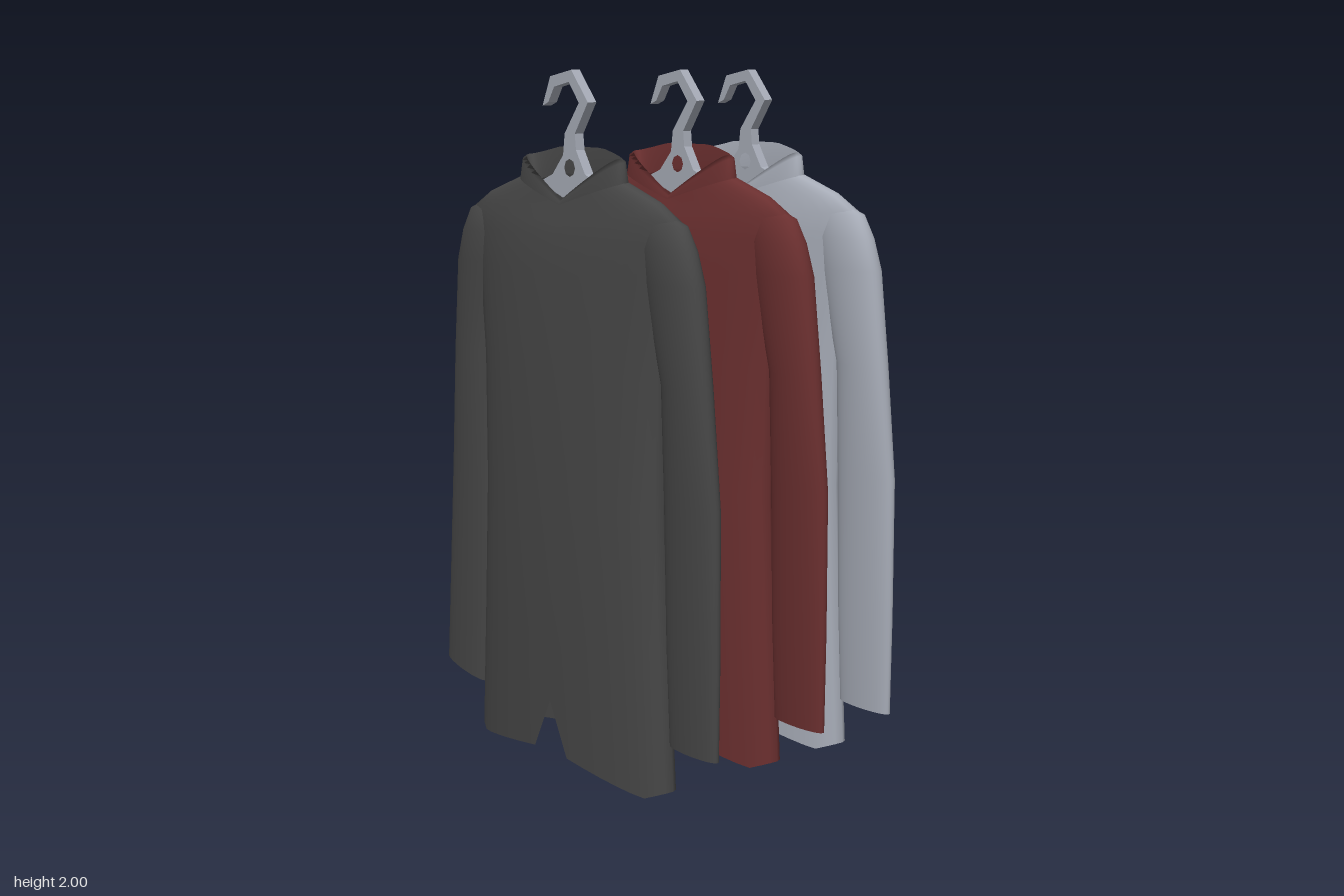
import * as THREE from 'three';

const SEG = 36;
const CX = 0.012; // garments hang slightly off centre

// Closed smooth skin through rings; each ring maps an angle to a point [x, y, z]
function loft(rings) {
  const pos = [], idx = [];
  for (const ring of rings) {
    for (let j = 0; j < SEG; j++) pos.push(...ring((j / SEG) * Math.PI * 2));
  }
  for (let i = 0; i < rings.length - 1; i++) {
    for (let j = 0; j < SEG; j++) {
      const k = (j + 1) % SEG;
      const a = i * SEG + j, b = i * SEG + k, c = a + SEG, d = b + SEG;
      idx.push(a, c, b, b, c, d);
    }
  }
  const g = new THREE.BufferGeometry();
  g.setAttribute('position', new THREE.Float32BufferAttribute(pos, 3));
  g.setIndex(idx);
  g.computeVertexNormals();
  return g;
}

// Flattened oval ring with separate front and back depths; y may be a function of the angle
function oval(y, cx, half, front, back, power = 0.8) {
  return (t) => {
    const s = Math.sin(t);
    const z = Math.sign(s) * Math.pow(Math.abs(s), power) * (s > 0 ? front : back);
    return [cx + Math.cos(t) * half, typeof y === 'function' ? y(t) : y, z];
  };
}

// Height that runs from the sides to the front centre and the back centre
const edge = (side, front, back) => (t) => {
  const u = Math.abs(Math.cos(t));
  return Math.sin(t) > 0 ? front + (side - front) * u : side + (back - side) * Math.min(1, (1 - u) * 1.8);
};

// Hem with a notch at the front centre
function hemHeight(t) {
  const u = Math.abs(Math.cos(t)), s = Math.sin(t);
  if (s > 0.999) return 0.2;
  if (s > 0.01) return u < 0.86 ? 0.055 - 0.06 * u : 0.003 + (u - 0.86) * 0.18;
  return 0.09 - 0.062 * u;
}

function torsoGeometry() {
  return loft([
    oval(hemHeight, CX, 0.445, 0.094, 0.066),
    oval(0.4, CX, 0.42, 0.099, 0.07),
    oval(0.8, CX, 0.4, 0.099, 0.069),
    oval(1.17, CX, 0.408, 0.088, 0.067),
    oval(1.44, CX, 0.44, 0.076, 0.065),
    oval(1.54, CX, 0.46, 0.066, 0.063),
    oval(edge(1.6, 1.58, 1.61), CX, 0.475, 0.057, 0.059),
    oval(edge(1.65, 1.61, 1.665), CX, 0.385, 0.049, 0.055),
    oval(edge(1.702, 1.632, 1.72), CX, 0.225, 0.043, 0.046),
  ]);
}

// Sleeve sections: [height, outer x, inner x, half depth]
const SLEEVES = {
  leftSleeve: [
    [0.163, 0.645, 0.448, 0.024], [0.45, 0.647, 0.435, 0.03], [0.85, 0.643, 0.427, 0.036], [1.17, 0.605, 0.42, 0.045],
    [1.44, 0.57, 0.35, 0.052], [1.53, 0.538, 0.34, 0.05], [1.595, 0.502, 0.36, 0.036], [1.615, 0.455, 0.42, 0.008],
  ],
  rightSleeve: [
    [0.15, -0.65, -0.45, 0.024], [0.45, -0.627, -0.418, 0.03], [0.8, -0.598, -0.388, 0.036], [1.17, -0.565, -0.397, 0.045],
    [1.44, -0.54, -0.33, 0.052], [1.53, -0.51, -0.32, 0.05], [1.595, -0.475, -0.34, 0.036], [1.615, -0.43, -0.4, 0.008],
  ],
};

function sleeveGeometry(rows) {
  return loft(rows.map(([y, outer, inner, depth], i) => {
    const tilt = i === 0 && outer < 0 ? 0.02 : 0; // the cuff hangs lower on its inner side
    return oval((t) => y - tilt * Math.cos(t), (outer + inner) / 2, Math.abs(outer - inner) / 2, depth, depth, 0.9);
  }));
}

// Folded collar: outer leaf, top fold, inner band
function collarGeometry() {
  return loft([
    oval(edge(1.695, 1.628, 1.712), CX + 0.003, 0.238, 0.05, 0.05),
    oval(edge(1.752, 1.638, 1.775), CX + 0.005, 0.228, 0.048, 0.041),
    oval(edge(1.762, 1.644, 1.787), CX + 0.005, 0.21, 0.042, 0.034),
    oval(edge(1.69, 1.622, 1.71), CX, 0.185, 0.032, 0.032),
  ]);
}

// Flat hanger with hook, eyelet and two arms
function hangerGeometry() {
  const outline = [
    [-0.105, 1.9], [-0.068, 1.982], [0.03, 2.0], [0.105, 1.912], [0.045, 1.825], [0.05, 1.78], [0.09, 1.715],
    [0.33, 1.615], [0.33, 1.585], [0.07, 1.66], [0.012, 1.637], [-0.05, 1.66], [-0.31, 1.585], [-0.31, 1.615],
    [-0.06, 1.71], [-0.01, 1.765], [-0.002, 1.825], [0.064, 1.91], [0.018, 1.967], [-0.05, 1.953], [-0.078, 1.91],
  ].map(([x, y]) => new THREE.Vector2(x, y));
  const shape = new THREE.Shape(outline);
  const eyelet = new THREE.Path();
  eyelet.absarc(0.02, 1.73, 0.025, 0, Math.PI * 2, true);
  shape.holes.push(eyelet);
  const g = new THREE.ExtrudeGeometry(shape, { depth: 0.03, bevelEnabled: false, curveSegments: 4 });
  g.translate(0, 0, -0.015);
  return g;
}

export function createModel() {
  const model = new THREE.Group();
  model.name = 'hangingShirts';

  const fabric = (name, color) => {
    const m = new THREE.MeshStandardMaterial({ color, side: THREE.DoubleSide });
    m.name = name;
    return m;
  };
  const metal = new THREE.MeshStandardMaterial({ color: 0xa6abb6 });
  metal.name = 'hangerMetal';

  const parts = { torso: torsoGeometry(), collar: collarGeometry() };
  for (const side in SLEEVES) parts[side] = sleeveGeometry(SLEEVES[side]);
  const hanger = hangerGeometry();

  // Three identical shirts, front to back
  const shirts = [
    ['charcoalShirt', fabric('charcoalFabric', 0x464646), 0.313],
    ['redShirt', fabric('redFabric', 0x6a2f2f), -0.079],
    ['greyShirt', fabric('greyFabric', 0xa6abb6), -0.342],
  ];
  for (const [name, material, z] of shirts) {
    const shirt = new THREE.Group();
    shirt.name = name;
    shirt.position.z = z;
    for (const part in parts) {
      const mesh = new THREE.Mesh(parts[part], material);
      mesh.name = part;
      shirt.add(mesh);
    }
    const hook = new THREE.Mesh(hanger, metal);
    hook.name = 'hanger';
    shirt.add(hook);
    model.add(shirt);
  }
  return model;
}
